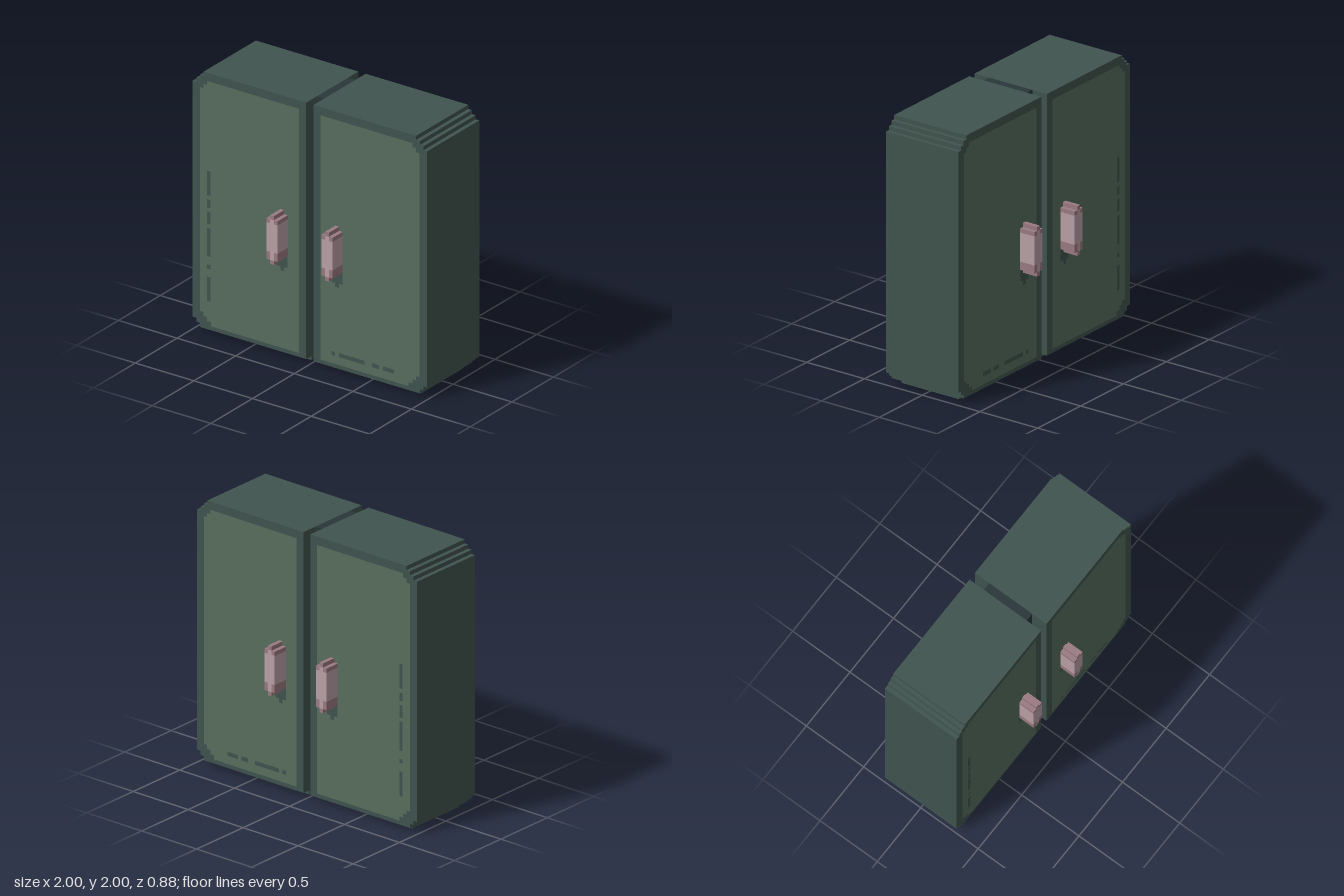
import * as THREE from 'three';

const U = 1 / 32; // one grid cell

const material = (color, side = THREE.FrontSide) =>
  new THREE.MeshStandardMaterial({ color, side, flatShading: true });

const FRAME = material(0x40544f);
const PANEL = material(0x576e5e, THREE.DoubleSide);
const MARK = material(0x40544f, THREE.DoubleSide);
const SPINE = material(0x2a373a);
const GRIP = material(0xbaa0a7);
const GRIP_DARK = material(0x9b7b83);

// Box given by its cell ranges
function box(name, mat, x0, x1, y0, y1, z0, z1) {
  const g = new THREE.BoxGeometry((x1 - x0) * U, (y1 - y0) * U, (z1 - z0) * U);
  g.translate((x0 + x1) * U / 2, (y0 + y1) * U / 2, (z0 + z1) * U / 2);
  const mesh = new THREE.Mesh(g, mat);
  mesh.name = name;
  return mesh;
}

// Outline in cells, mirrored in x by sx
function outline(points, sx = 1) {
  return new THREE.Shape(points.map(([x, y]) => new THREE.Vector2(x * sx * U, y * U)));
}

function flat(name, mat, shape, z) {
  const mesh = new THREE.Mesh(new THREE.ShapeGeometry(shape), mat);
  // face the outside on both the front and the back
  if (z < 0) {
    mesh.geometry.scale(-1, 1, 1);
    mesh.rotation.y = Math.PI;
  }
  mesh.position.z = z;
  mesh.name = name;
  return mesh;
}

const rect = (x0, x1, y0, y1) => outline([[x0, y0], [x1, y0], [x1, y1], [x0, y1]]);

const DOOR = [[1, 1], [30, 1], [30, 2], [31, 2], [31, 3], [32, 3], [32, 61], [31, 61],
  [31, 62], [30, 62], [30, 63], [29, 63], [29, 64], [1, 64]];
const INSET = [[3, 2], [27, 2], [27, 3], [28, 3], [28, 4], [29, 4], [29, 5], [30, 5],
  [30, 60], [29, 60], [29, 61], [28, 61], [28, 62], [3, 62]];
const SHADOW = [[6, 22], [7, 22], [7, 21], [8, 21], [8, 22], [9, 22], [9, 25], [6, 25]];

// Stepped pull handle in light and dark bands
function handle(sx, sz) {
  const group = new THREE.Group();
  group.name = 'handle';
  const part = (name, mat, x0, x1, y0, y1) => {
    const [a, b] = sx > 0 ? [x0, x1] : [-x1, -x0];
    const [c, d] = sz > 0 ? [10, 14] : [-14, -10];
    group.add(box(name, mat, a, b, y0, y1, c, d));
  };
  part('gripCore', GRIP, 7, 8, 25, 35);
  part('gripTopCap', GRIP_DARK, 7, 8, 35, 36);
  part('gripBottomCap', GRIP_DARK, 7, 8, 24, 25);
  for (const x of [6, 8]) {
    part('gripSide', GRIP, x, x + 1, 27, 34);
    part('gripSideTop', GRIP_DARK, x, x + 1, 34, 35);
    part('gripSideBottom', GRIP_DARK, x, x + 1, 25, 27);
  }
  return group;
}

export function createModel() {
  const model = new THREE.Group();
  model.name = 'doubleDoor';

  // Recessed strip between the two halves
  model.add(box('centerSpine', SPINE, -1, 1, 0, 64, -6, 6));

  for (const sx of [1, -1]) {
    const side = new THREE.Group();
    side.name = sx > 0 ? 'leftDoor' : 'rightDoor';

    // Stepped slab and its narrower foot
    const g = new THREE.ExtrudeGeometry(outline(DOOR, sx), { depth: 20 * U, bevelEnabled: false });
    g.translate(0, 0, -10 * U);
    const slab = new THREE.Mesh(g, FRAME);
    slab.name = 'doorSlab';
    side.add(slab);
    side.add(box('doorFoot', FRAME, sx > 0 ? 1 : -29, sx > 0 ? 29 : -1, 0, 1, -8, 8));

    // Inset panel, handle and its painted shadow, on both faces
    for (const sz of [1, -1]) {
      side.add(flat('doorPanel', PANEL, outline(INSET, sx), sz * (10 * U + 0.002)));
      side.add(flat('handleShadow', MARK, outline(SHADOW, sx), sz * (10 * U + 0.004)));
      side.add(handle(sx, sz));
    }
    model.add(side);
  }

  // Broken scratch lines: vertical on one half, horizontal on the other
  const vertical = [[34, 40], [31, 33], [27, 30], [19, 26], [16, 17], [8, 14]];
  const horizontal = [[6, 7], [8, 15], [17, 19], [20, 23]];
  for (const sz of [1, -1]) {
    const z = sz * (10 * U + 0.004);
    for (const [a, b] of vertical) model.add(flat('verticalScratch', MARK, rect(-28, -27, a, b), z));
    for (const [a, b] of horizontal) model.add(flat('horizontalScratch', MARK, rect(a, b, 4, 5), z));
  }
  return model;
}
